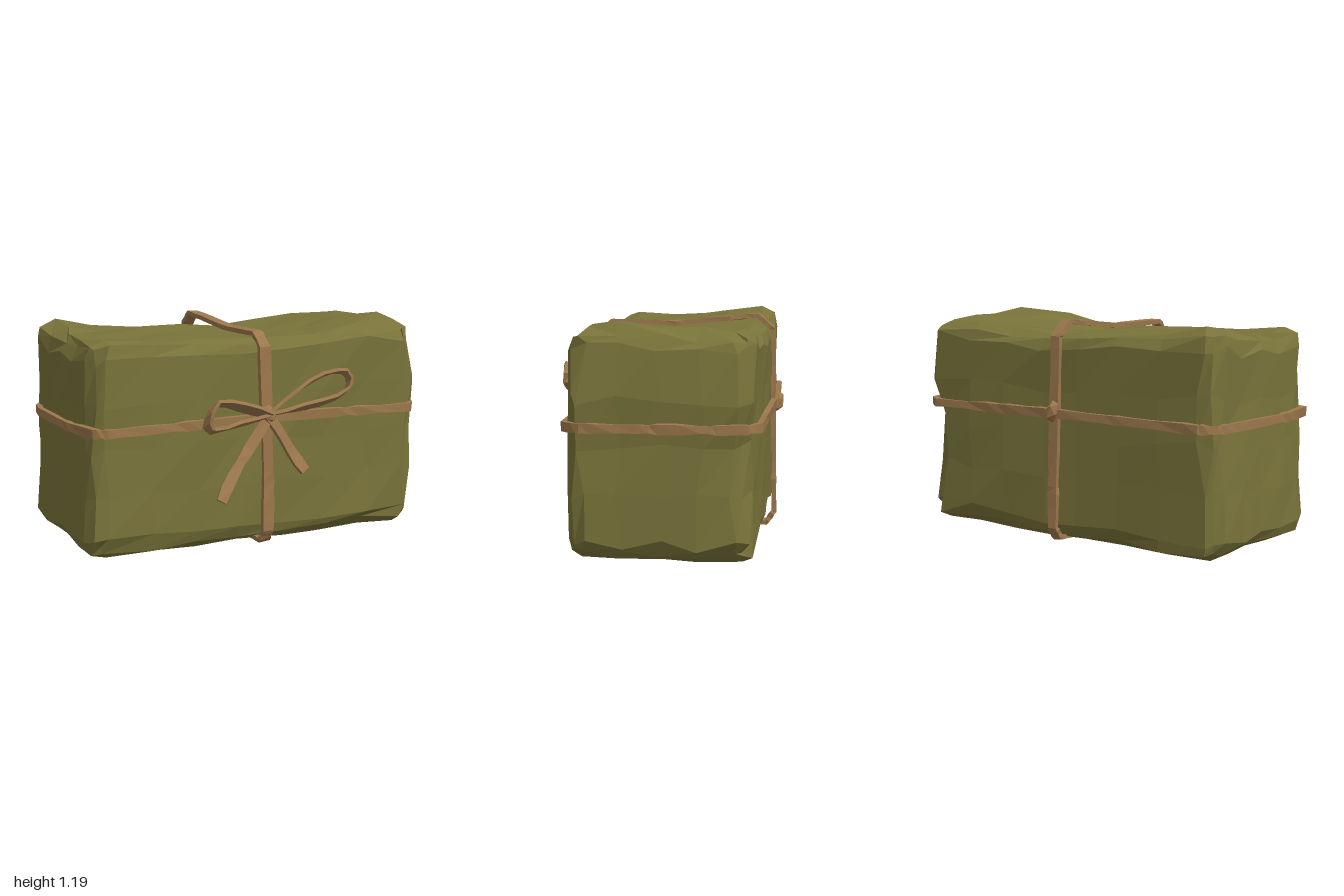
import * as THREE from 'three';

const V = (p) => new THREE.Vector3(...p);

// repeatable pseudo-random value in 0..1 from a position
function hash(x, y, z, k) {
  const s = Math.sin(Math.round(x * 97) * 12.9898 + Math.round(y * 97) * 78.233 + Math.round(z * 97) * 37.719 + k * 51.17) * 43758.5453;
  return s - Math.floor(s);
}

// piecewise linear lookup in [[x, y], ...]
function lookup(table, x) {
  for (let i = 1; i < table.length; i++) {
    const [x0, y0] = table[i - 1], [x1, y1] = table[i];
    if (x <= x1) return y0 + (y1 - y0) * Math.max(0, (x - x0) / (x1 - x0));
  }
  return table[table.length - 1][1];
}

const bump = (a, b, size) => Math.exp(-(a * a + b * b) / (size * size));

// height of the wrapped top and outline of both ends
const topLine = [[-1, 1.1], [-0.87, 1.14], [-0.6, 1.12], [-0.3, 1.12], [0, 1.1], [0.35, 1.115], [0.6, 1.14], [0.82, 1.17], [1, 1.12]];
const leftEnd = [[0, 0.97], [0.15, 0.985], [0.4, 0.975], [0.68, 0.955], [1.1, 0.965]];
const rightEnd = [[0, 0.96], [0.3, 0.99], [0.45, 0.96], [0.68, 0.965], [0.85, 0.985], [1.1, 0.945]];

// crumpled paper block: a box with creased, uneven chamfers
function wrapGeometry() {
  const half = [0.97, 0.55, 0.47], segs = [9, 6, 6], r = 0.09;
  const geo = new THREE.BoxGeometry(2, 2, 2, ...segs);
  const pos = geo.attributes.position;
  for (let i = 0; i < pos.count; i++) {
    const u = [pos.getX(i), pos.getY(i), pos.getZ(i)];
    const outer = u.map((c) => Math.abs(c) > 0.999);
    const count = outer.filter(Boolean).length;
    const p = u.map((c, a) => {
      const s = Math.sign(c), h = hash(...u, a + 1);
      if (!outer[a]) {
        const inner = (half[a] - r) / (1 - 2 / segs[a]);
        return c * inner + (h - 0.5) * 0.06;
      }
      if (count === 1) return s * (half[a] - (a === 1 && s < 0 ? 0 : h * 0.018));
      return s * (half[a] - r * ((count === 2 ? 0.2 : 0.4) + 0.4 * h));
    });
    let [x, y, z] = p;
    // wide fold on the right back edge
    if (x > 0.85 && z < -0.35) {
      const fold = 0.06 * bump(y + 0.1, 0, 0.22);
      x -= fold;
      z += fold * 0.5;
    }
    const top = lookup(topLine, x) + 0.045 * bump(x + 0.87, z + 0.42, 0.2) + 0.045 * bump(x - 0.82, z - 0.2, 0.22);
    y = 0.012 + (y / 1.1 + 0.5) * (top - 0.012);
    x *= lookup(x > 0 ? rightEnd : leftEnd, y) / 0.97;
    pos.setXYZ(i, x, y, z - 0.045);
  }
  const flat = geo.toNonIndexed();
  flat.computeVertexNormals();
  return flat;
}

// ribbon of rectangular section along a path, "wide" is the direction of its width
function ribbonGeometry(points, wide, width, thick, { closed = false, smooth = false, steps = 4, wobble = 0.25 } = {}) {
  const curve = new THREE.CatmullRomCurve3(points.map(V), closed, 'catmullrom', smooth ? 0.5 : 0);
  const n = (closed ? points.length : points.length - 1) * steps;
  const rings = closed ? n : n + 1;
  const pts = Array.from({ length: rings }, (_, i) => curve.getPoint(i / n));
  const verts = [], idx = [];
  pts.forEach((p, i) => {
    const prev = closed ? pts[(i + n - 1) % n] : pts[Math.max(0, i - 1)];
    const next = closed ? pts[(i + 1) % n] : pts[Math.min(n, i + 1)];
    const T = next.clone().sub(prev).normalize();
    const W = V(wide).addScaledVector(T, -T.dot(V(wide))).normalize();
    const N = T.clone().cross(W);
    const h = hash(p.x, p.y, p.z, 7) - 0.5;
    W.applyAxisAngle(T, h * wobble);
    N.applyAxisAngle(T, h * wobble);
    const w = width / 2 * (1 + h * wobble * 1.5);
    for (const [a, b] of [[1, 1], [-1, 1], [-1, -1], [1, -1]]) {
      const q = p.clone().addScaledVector(W, a * w).addScaledVector(N, b * thick / 2);
      verts.push(q.x, q.y, q.z);
    }
  });
  for (let i = 0; i < n; i++) {
    const A = i * 4, B = ((i + 1) % rings) * 4;
    for (let j = 0; j < 4; j++) {
      const k = (j + 1) % 4;
      idx.push(A + j, A + k, B + k, A + j, B + k, B + j);
    }
  }
  if (!closed) {
    const e = n * 4;
    idx.push(0, 2, 1, 0, 3, 2, e, e + 1, e + 2, e, e + 2, e + 3);
  }
  const geo = new THREE.BufferGeometry();
  geo.setAttribute('position', new THREE.Float32BufferAttribute(verts, 3));
  geo.setIndex(idx);
  const flat = geo.toNonIndexed();
  flat.computeVertexNormals();
  return flat;
}

export function createModel() {
  const paper = new THREE.MeshStandardMaterial({ color: 0x79733a, flatShading: true });
  paper.name = 'olivePaper';
  const twine = new THREE.MeshStandardMaterial({ color: 0x9b774c, flatShading: true });
  twine.name = 'brownRibbon';

  const model = new THREE.Group();
  model.name = 'wrappedParcel';
  const add = (name, geo, mat, parent = model) => {
    const mesh = new THREE.Mesh(geo, mat);
    mesh.name = name;
    parent.add(mesh);
    return mesh;
  };

  add('paperWrap', wrapGeometry(), paper);

  // straps around the parcel
  add('horizontalStrap', ribbonGeometry([
    [0, 0.69, 0.45], [0.5, 0.685, 0.445], [0.91, 0.675, 0.43], [0.97, 0.675, 0.34], [0.985, 0.68, 0],
    [0.975, 0.68, -0.3], [0.94, 0.68, -0.47], [0.87, 0.68, -0.525], [0.4, 0.685, -0.535], [0, 0.69, -0.545],
    [-0.4, 0.685, -0.54], [-0.88, 0.68, -0.525], [-0.95, 0.675, -0.45], [-0.985, 0.68, -0.3], [-0.985, 0.675, 0.15],
    [-0.94, 0.675, 0.42], [-0.88, 0.675, 0.45], [-0.45, 0.68, 0.445],
  ], [0, 1, 0], 0.045, 0.03, { closed: true }), twine);
  add('verticalStrap', ribbonGeometry([
    [0, 0.69, 0.45], [-0.01, 1.06, 0.44], [-0.01, 1.125, 0.36], [0, 1.12, 0], [0, 1.15, -0.3], [-0.01, 1.165, -0.45],
    [-0.01, 1.09, -0.535], [0, 0.69, -0.54], [0.01, 0.3, -0.545], [0.01, 0.08, -0.55], [0.01, 0.02, -0.51],
    [0.01, 0.014, 0], [0.01, 0.02, 0.41], [0.01, 0.08, 0.45], [0.015, 0.35, 0.445],
  ], [1, 0, 0], 0.06, 0.025, { closed: true }), twine);

  // knots where the straps cross
  const knot = (name, at, size) => {
    const mesh = add(name, new THREE.IcosahedronGeometry(1, 0), twine);
    mesh.position.set(...at);
    mesh.scale.set(...size);
    mesh.rotation.z = 0.4;
  };
  knot('frontKnot', [0, 0.71, 0.475], [0.045, 0.055, 0.04]);
  knot('backKnot', [0, 0.7, -0.558], [0.04, 0.065, 0.042]);

  // bow on the front
  const bow = new THREE.Group();
  bow.name = 'bow';
  model.add(bow);
  const loopStyle = { smooth: true, steps: 2, wobble: 0.3 };
  add('leftLoop', ribbonGeometry([
    [0, 0.71, 0.49], [-0.18, 0.77, 0.52], [-0.32, 0.8, 0.535], [-0.37, 0.71, 0.525], [-0.34, 0.655, 0.51], [-0.18, 0.675, 0.49], [0, 0.7, 0.48],
  ], [0.1, 0.45, 0.9], 0.065, 0.018, loopStyle), twine, bow);
  add('rightLoop', ribbonGeometry([
    [0, 0.72, 0.49], [0.15, 0.83, 0.505], [0.3, 0.905, 0.51], [0.44, 0.915, 0.505], [0.475, 0.84, 0.5], [0.4, 0.775, 0.49], [0.2, 0.735, 0.48], [0, 0.71, 0.48],
  ], [-0.1, 0.45, 0.9], 0.06, 0.018, loopStyle), twine, bow);
  const tailStyle = { smooth: true, steps: 2, wobble: 0.2 };
  add('leftTail', ribbonGeometry([
    [0, 0.7, 0.48], [-0.13, 0.54, 0.5], [-0.24, 0.42, 0.54], [-0.325, 0.3, 0.58],
  ], [0.8, -0.5, 0.3], 0.055, 0.015, tailStyle), twine, bow);
  add('rightTail', ribbonGeometry([
    [0, 0.7, 0.48], [0.07, 0.6, 0.485], [0.13, 0.5, 0.49], [0.195, 0.4, 0.52],
  ], [0.8, 0.5, -0.3], 0.06, 0.02, tailStyle), twine, bow);

  return model;
}
